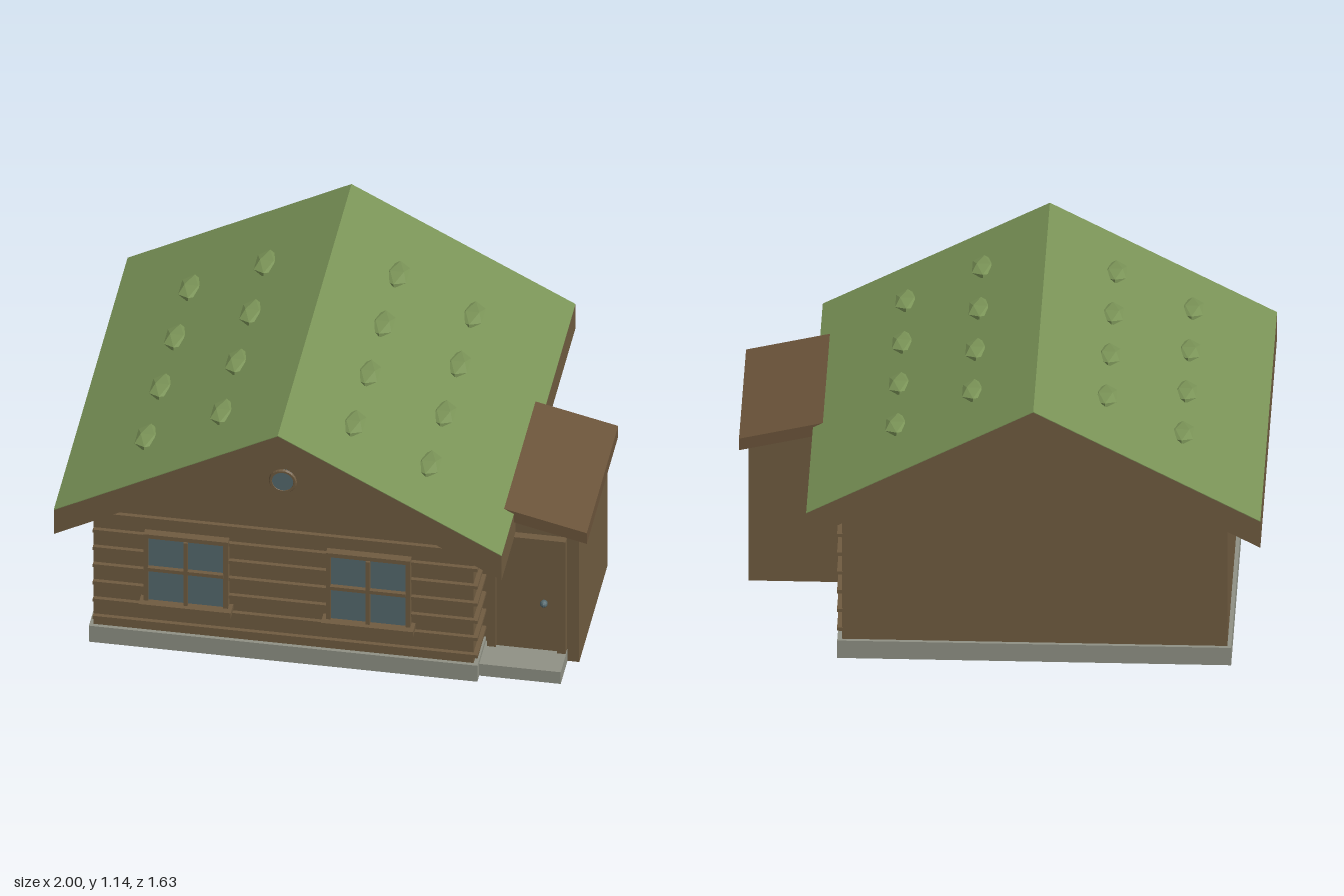
import * as THREE from 'three';

const mat = (name, color) => Object.assign(new THREE.MeshStandardMaterial({ color }), { name, flatShading: true });

export function createModel() {
  const wood = mat('wood', 0x6f5b40);
  const plank = mat('porchRoofWood', 0x6b543a);
  const turf = mat('turf', 0x7a9357);
  const stone = mat('stone', 0x8f9185);
  const glass = mat('glass', 0x55696e);

  const house = new THREE.Group();
  house.name = 'cabin';

  const add = (name, geometry, material, x = 0, y = 0, z = 0, parent = house) => {
    const m = new THREE.Mesh(geometry, material);
    m.name = name;
    m.position.set(x, y, z);
    parent.add(m);
    return m;
  };
  // Box given by its limits on each axis
  const box = (name, material, [x0, x1], [y0, y1], [z0, z1], parent) =>
    add(name, new THREE.BoxGeometry(x1 - x0, y1 - y0, z1 - z0), material,
      (x0 + x1) / 2, (y0 + y1) / 2, (z0 + z1) / 2, parent);
  // Front-facing outline extruded from z0 to z1
  const slab = (name, material, points, z0, z1) => {
    const shape = new THREE.Shape(points.map(([x, y]) => new THREE.Vector2(x, y)));
    return add(name, new THREE.ExtrudeGeometry(shape, { depth: z1 - z0, bevelEnabled: false }), material, 0, 0, z0);
  };

  // Main body with gables
  const ridge = -0.14, slope = 0.529;
  const roofY = (x) => 1.145 - slope * Math.abs(x - ridge);
  slab('walls', wood, [[-0.87, 0], [0.59, 0], [0.59, 0.65], [ridge, 1.035], [-0.87, 0.65]], -0.685, 0.685);

  // Stone footing around the walls
  box('footingFront', stone, [-0.885, 0.607], [0, 0.075], [0.68, 0.7]);
  box('footingBack', stone, [-0.885, 0.607], [0, 0.075], [-0.7, -0.68]);
  box('footingLeft', stone, [0.585, 0.607], [0, 0.075], [-0.68, 0.68]);
  box('footingRight', stone, [-0.885, -0.865], [0, 0.075], [-0.68, 0.68]);

  // Log ridges on the front and left walls
  for (let i = 0; i < 7; i++) {
    const y = 0.118 + i * 0.081;
    box('frontLogRidge', wood, [-0.87, 0.608], [y - 0.007, y + 0.007], [0.68, 0.702]);
    box('sideLogRidge', wood, [0.585, 0.608], [y - 0.007, y + 0.007], [-0.688, 0.688]);
  }

  // Roof: timber chevron with a thin turf skin
  const chevron = (top, bottom) => [
    [-1, roofY(-1) + bottom], [ridge, 1.145 + bottom], [0.72, roofY(0.72) + bottom],
    [0.72, roofY(0.72) + top], [ridge, 1.145 + top], [-1, roofY(-1) + top]];
  slab('roofTimber', wood, chevron(-0.003, -0.115), -0.815, 0.815);
  slab('roofTurf', turf, chevron(0, -0.003), -0.815, 0.815);

  // Turf tufts in rows on both slopes
  const tuft = new THREE.IcosahedronGeometry(1, 0).scale(0.05, 0.018, 0.09);
  for (const x of [-0.69, -0.4, 0.1, 0.39])
    for (const z of [-0.44, -0.12, 0.2, 0.525]) add('turfTuft', tuft, turf, x, roofY(x) + 0.004, z);

  // Front windows
  for (const cx of [-0.51, 0.19]) {
    const w = new THREE.Group();
    w.name = 'window';
    w.position.x = cx;
    house.add(w);
    for (const s of [-1, 1])
      box('windowJamb', wood, [s * 0.153 - 0.009, s * 0.153 + 0.009], [0.23, 0.545], [0.68, 0.718], w);
    box('windowHead', wood, [-0.162, 0.162], [0.527, 0.545], [0.68, 0.718], w);
    box('windowPane', glass, [-0.145, 0.145], [0.235, 0.528], [0.68, 0.709], w);
    box('windowMullion', wood, [-0.008, 0.008], [0.235, 0.528], [0.7, 0.727], w);
    box('windowTransom', wood, [-0.145, 0.145], [0.38, 0.395], [0.7, 0.727], w);
    box('windowSill', wood, [-0.177, 0.177], [0.21, 0.235], [0.68, 0.745], w);
  }

  // Round gable window
  add('gableWindowRim', new THREE.TorusGeometry(0.046, 0.008, 6, 24), wood, ridge, 0.85, 0.7);
  add('gableWindowPane', new THREE.CylinderGeometry(0.045, 0.045, 0.03, 24).rotateX(Math.PI / 2), glass, ridge, 0.85, 0.69);

  // Side porch
  slab('porchWalls', wood, [[0.59, 0], [0.965, 0], [0.965, 0.595], [0.59, 0.68]], -0.11, 0.51);
  slab('porchRoof', plank, [[0.61, 0.677], [1, 0.585], [1, 0.635], [0.61, 0.727]], -0.15, 0.545);
  box('porchStep', stone, [0.607, 0.92], [0, 0.055], [0.5, 0.66]);

  // Door with frame and knob
  for (const x of [0.617, 0.885]) box('doorPost', wood, [x, x + 0.033], [0.055, 0.58], [0.5, 0.543]);
  box('doorLintel', wood, [0.65, 0.885], [0.545, 0.58], [0.5, 0.543]);
  box('door', wood, [0.65, 0.885], [0.055, 0.545], [0.5, 0.53]);
  const knob = add('doorKnob', new THREE.SphereGeometry(0.015, 12, 8), glass, 0.835, 0.283, 0.545);
  knob.scale.z = 1.1;

  return house;
}
